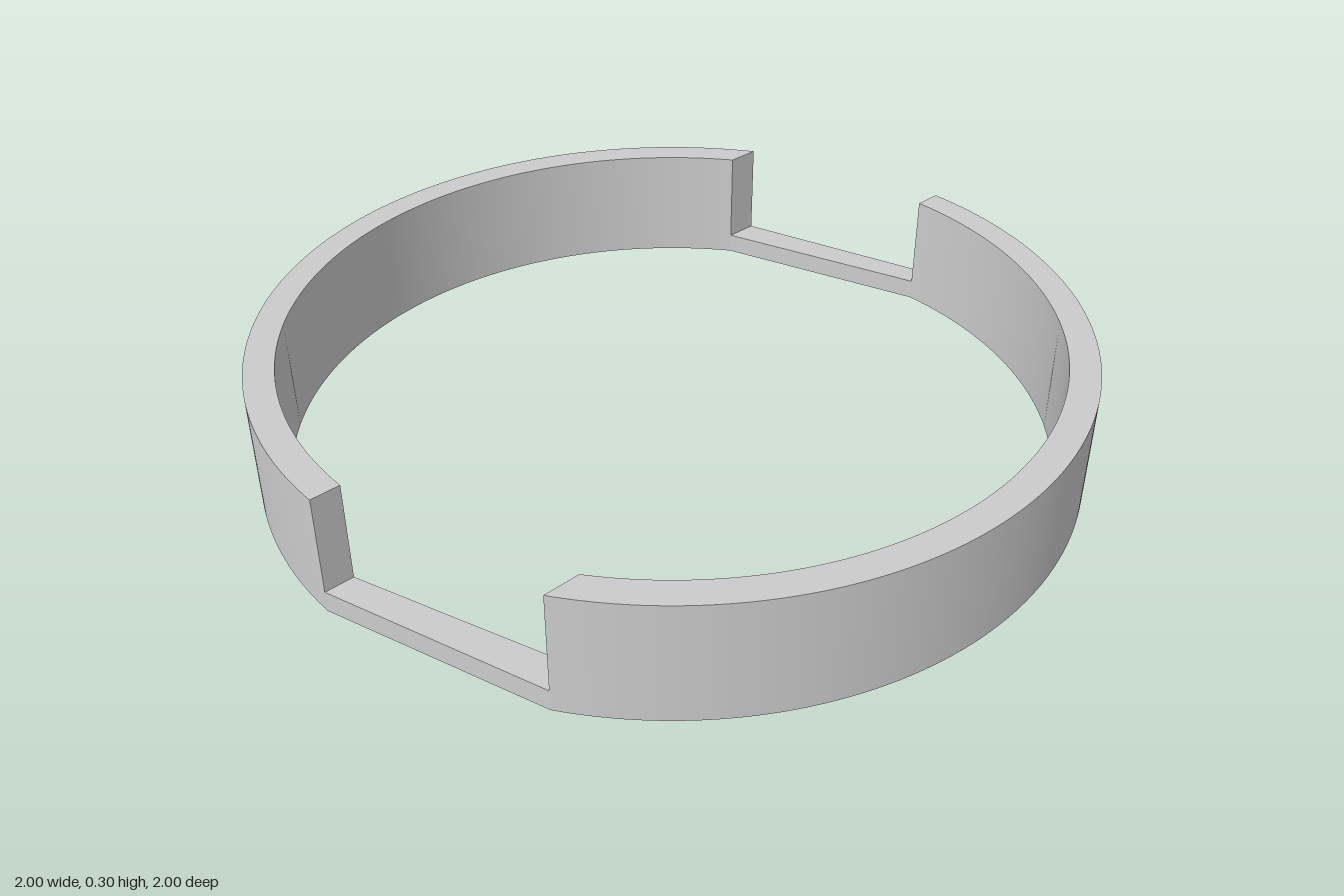
import * as THREE from 'three';
import { toCreasedNormals } from 'three/addons/utils/BufferGeometryUtils.js';

const OUTER = 1, INNER = 0.928;
const HEIGHT = 0.297, BAR_HEIGHT = 0.052;
const GAP = 0.545; // each gap runs from x = 0 to this x

const material = new THREE.MeshStandardMaterial({ color: 0xcccccc });

// Extrudes a plan drawn in (x, z) upwards from y = 0
function extrudePlan(plan, height, name) {
  const geometry = new THREE.ExtrudeGeometry(plan, { depth: height, bevelEnabled: false, curveSegments: 96 });
  geometry.rotateX(Math.PI / 2).translate(0, height, 0);
  const mesh = new THREE.Mesh(toCreasedNormals(geometry, 0.5), material);
  mesh.name = name;
  return mesh;
}

export function createModel() {
  const group = new THREE.Group();
  group.name = 'notchedRing';

  const zOuter = Math.sqrt(OUTER ** 2 - GAP ** 2);
  const zInner = Math.sqrt(INNER ** 2 - GAP ** 2);

  // Tall curved wall, its ends cut square to x
  const wall = new THREE.Shape();
  wall.absarc(0, 0, OUTER, Math.atan2(zOuter, GAP), -Math.PI / 2, true);
  wall.absarc(0, 0, INNER, -Math.PI / 2, Math.atan2(zInner, GAP), false);
  wall.closePath();

  // Low straight bar bridging the gap
  const bar = new THREE.Shape([
    new THREE.Vector2(0, OUTER),
    new THREE.Vector2(GAP, zOuter),
    new THREE.Vector2(GAP, zInner),
    new THREE.Vector2(0, INNER),
  ]);

  // Two identical halves, half a turn apart
  for (let i = 0; i < 2; i++) {
    const half = new THREE.Group();
    half.name = i ? 'rightHalf' : 'leftHalf';
    half.add(extrudePlan(wall, HEIGHT, 'curvedWall'), extrudePlan(bar, BAR_HEIGHT, 'bridgeBar'));
    half.rotation.y = i * Math.PI;
    group.add(half);
  }
  return group;
}
